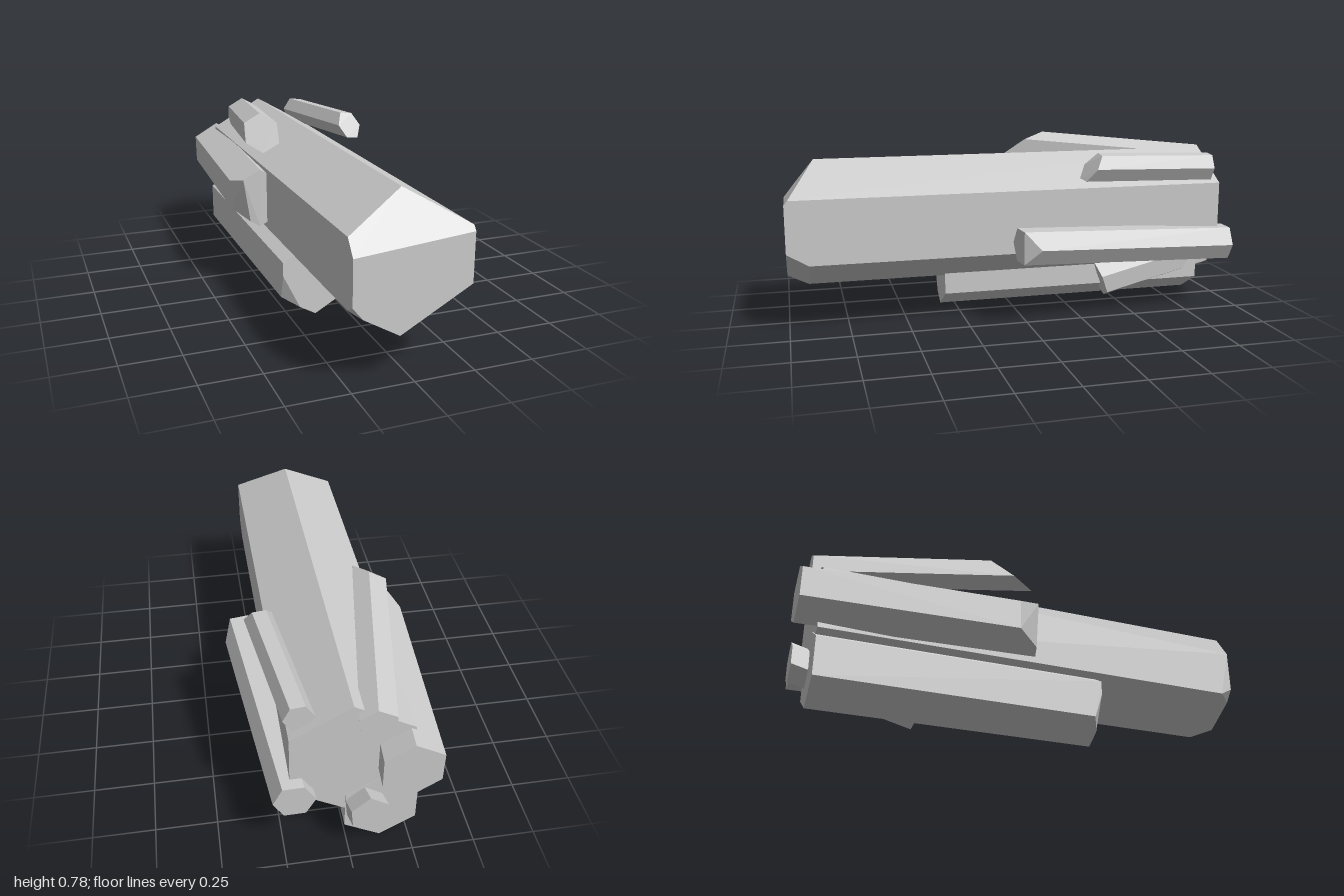
import * as THREE from 'three';
import { ConvexGeometry } from 'three/addons/geometries/ConvexGeometry.js';

const material = new THREE.MeshStandardMaterial({ color: 0xcccccc, flatShading: true });

// A faceted prism: tip corners [x, y, z] swept back to z = backZ,
// drifting by (dx, dy) for each unit of depth; cuts are extra corners of the tip facets.
function crystal(name, tip, backZ, dx = 0, dy = 0, cuts = []) {
  const base = tip.map(([x, y, z]) => [x + dx * (z - backZ), y + dy * (z - backZ), backZ]);
  const points = [...tip, ...cuts, ...base].map((p) => new THREE.Vector3(...p));
  const mesh = new THREE.Mesh(new ConvexGeometry(points), material);
  mesh.name = name;
  return mesh;
}

export function createModel() {
  const group = new THREE.Group();
  group.name = 'crystalCluster';

  // Large central crystal with bevelled tip
  group.add(crystal('mainCrystal', [
    [-0.013, 0.71, 0.87], [0.222, 0.575, 0.985], [0.222, 0.302, 0.91],
    [-0.013, 0.165, 0.91], [-0.25, 0.302, 0.95], [-0.25, 0.575, 0.95],
  ], -0.905, 0, 0, [
    [-0.25, 0.512, 1], [0.222, 0.555, 1], [0.222, 0.355, 1],
    [-0.065, 0.195, 1], [-0.21, 0.28, 1], [-0.25, 0.33, 1],
  ]));

  // Straight crystal underneath, one corner chipped
  group.add(crystal('lowerCrystal', [
    [-0.135, 0, 0.315], [0.008, 0.083, 0.315], [0.008, 0.25, 0.315],
    [-0.135, 0.333, 0.315], [-0.278, 0.25, 0.315], [-0.278, 0.083, 0.28],
  ], -0.91, 0, 0, [[-0.278, 0.19, 0.315], [-0.205, 0.04, 0.315]]));

  // Crystal on the right flank, with a sloped outer facet
  group.add(crystal('rightFlankCrystal', [
    [-0.278, 0.573, 0.005], [-0.165, 0.508, 0.015], [-0.165, 0.378, 0.015],
    [-0.282, 0.313, 0.005], [-0.386, 0.38, -0.1], [-0.388, 0.507, -0.1],
  ], -0.995, 0.053, 0, [[-0.352, 0.53, -0.005], [-0.323, 0.337, -0.005]]));

  // Upper right crystal with a slanted end
  group.add(crystal('upperRightCrystal', [
    [-0.215, 0.78, -0.2], [-0.165, 0.752, -0.1], [-0.187, 0.683, 0],
    [-0.26, 0.645, 0], [-0.31, 0.672, -0.1], [-0.288, 0.74, -0.2],
  ], -0.94, 0.165, -0.093));

  // Small upper left crystal
  group.add(crystal('upperLeftCrystal', [
    [0.228, 0.728, -0.32], [0.285, 0.722, -0.32], [0.317, 0.668, -0.29],
    [0.29, 0.615, -0.25], [0.232, 0.622, -0.24], [0.2, 0.677, -0.27],
  ], -0.87, -0.135, -0.042));

  // Crystal on the left flank
  group.add(crystal('leftFlankCrystal', [
    [0.275, 0.427, 0.05], [0.357, 0.425, 0.04], [0.387, 0.348, -0.03],
    [0.353, 0.283, 0.04], [0.27, 0.285, 0.05], [0.23, 0.357, 0.055],
  ], -0.95, -0.103, -0.053));

  // Small crystal rising toward the back below the main one
  group.add(crystal('lowerRearCrystal', [
    [0.008, 0.19, -0.39], [0.077, 0.13, -0.41], [0.065, 0.052, -0.44],
    [-0.01, 0.02, -0.45], [-0.075, 0.07, -0.43], [-0.065, 0.145, -0.4],
  ], -0.98, -0.14, 0.19));

  return group;
}
